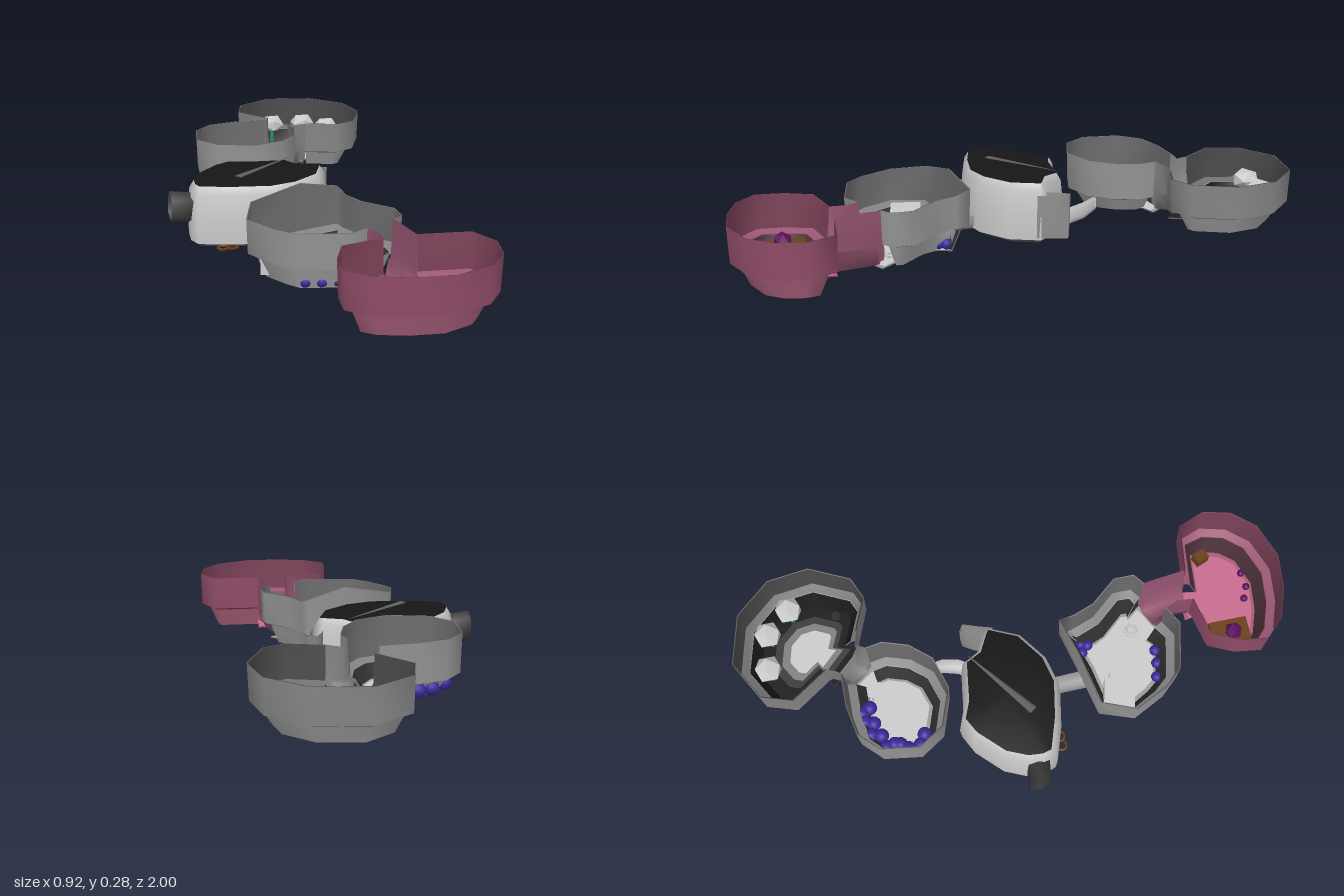
import * as THREE from 'three';

const paint = (color) => new THREE.MeshStandardMaterial({ color, side: THREE.DoubleSide });
const GREY = paint(0xcccccc), BLUE = paint(0x3a2a9a), PURPLE = paint(0x5a1060), BROWN = paint(0x6a4018), TEAL = paint(0x2f8a70);

// Colours of a room: [outside, inside] of each band, and [size, colour] of the floor rings
const STONE = { rim: [0x949494, 0x6c6c6c], ledge: [0x8a8a8a, 0x828282], lower: [0xaaaaaa, 0x303030], under: 0x606060,
  floor: [[1, 0x9c9c9c], [0.9, 0xbcbcbc], [0.76, 0xcccccc]] };
const GLOOM = { ...STONE, rim: [0x868686, 0x4c4c4c], ledge: [0x7c7c7c, 0x707070], lower: [0xaaaaaa, 0x181818],
  floor: [[1, 0x1c1c1c], [0.75, 0x3c3c3c], [0.6, 0x808080], [0.45, 0xc0c0c0]] };
const ROSE = { rim: [0x904c68, 0x7c4258], ledge: [0x864760, 0x9a5672], lower: [0xb06480, 0x4a3038], under: 0x6a3c4c,
  floor: [[1, 0xa85a78], [0.9, 0xc86c90]] };

function add(parent, name, geometry, material, x = 0, y = 0, z = 0) {
  const mesh = new THREE.Mesh(geometry, material);
  mesh.name = name;
  mesh.position.set(x, y, z);
  parent.add(mesh);
  return mesh;
}

// Skin a list of equally long rows of [x, y, z] points
function skin(rows, closed) {
  const n = rows[0].length, index = [];
  for (let r = 0; r < rows.length - 1; r++) {
    for (let i = 0; i < (closed ? n : n - 1); i++) {
      const a = r * n + i, b = r * n + (i + 1) % n;
      index.push(a, b, a + n, b, b + n, a + n);
    }
  }
  const g = new THREE.BufferGeometry();
  g.setAttribute('position', new THREE.Float32BufferAttribute(rows.flat(2), 3));
  g.setIndex(index);
  g.computeVertexNormals();
  return g;
}

// Outer skin with a lining just inside it
function lined(parent, name, rows, closed, [outside, inside]) {
  const outer = skin(rows, closed), lining = outer.clone();
  const p = lining.attributes.position, n = lining.attributes.normal;
  for (let i = 0; i < p.count; i++) {
    p.setXYZ(i, p.getX(i) - 0.004 * n.getX(i), p.getY(i) - 0.004 * n.getY(i), p.getZ(i) - 0.004 * n.getZ(i));
  }
  add(parent, name, outer, paint(outside));
  add(parent, name + 'Lining', lining, paint(inside));
}

// Twice the signed area of an outline of [x, z] points
const turn = (outline) => outline.reduce((t, [x, z], i) => {
  const q = outline[(i + 1) % outline.length];
  return t + x * q[1] - q[0] * z;
}, 0);

// Move an outline inward by d
function inset(outline, d, closed) {
  const n = outline.length, s = Math.sign(turn(outline));
  return outline.map(([x, z], i) => {
    const p = closed ? outline[(i + n - 1) % n] : outline[Math.max(i - 1, 0)];
    const q = closed ? outline[(i + 1) % n] : outline[Math.min(i + 1, n - 1)];
    const dx = q[0] - p[0], dz = q[1] - p[1], l = Math.hypot(dx, dz);
    return [x - s * dz / l * d, z + s * dx / l * d];
  });
}

// Shrink an outline toward its middle
function shrink(outline, k) {
  const c = [0, 1].map((a) => outline.reduce((t, p) => t + p[a], 0) / outline.length);
  return outline.map((p) => [c[0] + (p[0] - c[0]) * k, c[1] + (p[1] - c[1]) * k]);
}
const level = (outline, y) => outline.map(([x, z, top]) => [x, top ?? y, z]);

// Open-topped room: upright wall, ledge, tapering lower wall and floor; the first and last points flank the door
function room(parent, name, points, rim, ledge, floor, tones) {
  const outline = turn(points) > 0 ? points : [...points].reverse();
  const base = inset(outline, 0.066, false);
  const foot = level(inset(outline, 0.004, false), ledge), lip = level(inset(outline, 0.035, false), ledge - 0.012);
  const group = new THREE.Group();
  group.name = name;
  parent.add(group);
  lined(group, 'upperWall', [level(outline, rim), foot], false, tones.rim);
  lined(group, 'ledge', [foot, lip], false, tones.ledge);
  lined(group, 'lowerWall', [lip, level(base, floor)], false, tones.lower);
  const ground = [...base, outline[outline.length - 1], outline[0]];
  tones.floor.forEach(([size, color], i) => {
    const next = tones.floor[i + 1]?.[0] ?? 0;
    lined(group, 'floor', [level(shrink(ground, size), floor), level(shrink(ground, next), floor)], true, [tones.under, color]);
  });
  return group;
}

// Open passage: each row is [leftX, leftZ, rightX, rightZ, floorY, rimY]
function passage(parent, name, rows, color) {
  add(parent, name, skin(rows.map(([ax, az, bx, bz, floor, rim]) => {
    const at = (t, y) => [ax + (bx - ax) * t, y, az + (bz - az) * t];
    const mid = floor + (rim - floor) * 0.38;
    return [at(0, rim), at(0.03, mid), at(0.18, mid - 0.01), at(0.25, floor),
      at(0.75, floor), at(0.82, mid - 0.01), at(0.97, mid), at(1, rim)];
  }), false), paint(color));
}

export function createModel() {
  const model = new THREE.Group();
  model.name = 'caveRooms';

  // Back pair of rooms
  const back = room(model, 'backRoom', [[0.19, -0.555], [0.31, -0.51], [0.39, -0.545], [0.46, -0.69], [0.44, -0.84],
    [0.33, -0.96], [0.15, -1], [0.01, -0.92], [-0.025, -0.81], [0.065, -0.68]], 0.272, 0.155, 0.085, GLOOM);
  const berry = room(model, 'berryRoom', [[0.04, -0.635], [-0.085, -0.635], [-0.19, -0.615], [-0.26, -0.545], [-0.28, -0.41],
    [-0.22, -0.32], [-0.085, -0.275], [0.03, -0.31], [0.095, -0.385], [0.125, -0.475], [0.115, -0.535]], 0.28, 0.145, 0.085, STONE);
  passage(model, 'backPassage', [[0.034, -0.628, 0.108, -0.528, 0.092, 0.16], [0.04, -0.635, 0.115, -0.535, 0.092, 0.28],
    [0.055, -0.65, 0.14, -0.57, 0.092, 0.265], [0.065, -0.68, 0.19, -0.555, 0.092, 0.272],
    [0.075, -0.69, 0.195, -0.565, 0.092, 0.16]], 0x808080);

  // Front pair of rooms
  const store = room(model, 'storeRoom', [[0.07, 0.545], [0.005, 0.58], [-0.16, 0.54], [-0.22, 0.475], [-0.28, 0.355],
    [-0.235, 0.23, 0.235], [-0.05, 0.19, 0.273], [0.095, 0.155, 0.24], [0.11, 0.21], [0.14, 0.29], [0.22, 0.385],
    [0.22, 0.46], [0.18, 0.49]], 0.222, 0.1, 0.012, STONE);
  const pink = room(model, 'pinkRoom', [[0.085, 0.645], [-0.06, 0.675], [-0.105, 0.77], [-0.118, 0.87], [-0.05, 0.94],
    [0.06, 0.98], [0.19, 0.995], [0.32, 0.95], [0.39, 0.87], [0.415, 0.77], [0.375, 0.67], [0.2, 0.645]],
  0.223, 0.097, 0.012, ROSE);
  passage(model, 'frontPassage', [[0.064, 0.533, 0.175, 0.48, 0.019, 0.08], [0.07, 0.545, 0.18, 0.49, 0.019, 0.222],
    [0.09, 0.59, 0.19, 0.56, 0.019, 0.222], [0.085, 0.645, 0.2, 0.645, 0.019, 0.222],
    [0.086, 0.66, 0.2, 0.66, 0.019, 0.08]], 0x945470);

  // Roofed middle room
  const middle = new THREE.Group();
  middle.name = 'middleRoom';
  model.add(middle);
  const hall = [[-0.2, -0.265], [-0.13, -0.24], [0.015, -0.22], [0.05, -0.16], [0.11, -0.13], [0.135, -0.095],
    [0.085, 0.015], [-0.02, 0.09], [-0.125, 0.115], [-0.26, 0.09], [-0.38, 0.05], [-0.4, 0], [-0.395, -0.06],
    [-0.36, -0.14], [-0.27, -0.23]].reverse();
  const ring = (d, y) => level(inset(hall, d, true), y);
  const point = (y) => level(shrink(hall, 0), y);
  add(middle, 'hallFloor', skin([ring(0.005, 0.032), ring(0.045, 0.01), point(0.01)], true), paint(0x606060));
  add(middle, 'hallWall', skin([ring(0.026, 0.238), ring(0.01, 0.212), ring(0, 0.12), ring(0.005, 0.032)], true), GREY);
  add(middle, 'hallRoof', skin([point(0.252), level(shrink(hall, 0.5), 0.25), ring(0.026, 0.238)], true), paint(0x161616));
  // pale ridge across the roof
  const ridge = new THREE.CylinderGeometry(0.016, 0.002, 0.3, 6);
  ridge.rotateZ(Math.PI / 2).scale(1, 0.2, 1);
  add(middle, 'roofRidge', ridge, paint(0x606060), -0.1, 0.252, -0.095).rotation.y = 0.65;
  // tunnel mouth at the model's right
  add(middle, 'sideMouth', skin([[-0.38, 0.01], [-0.425, 0.004], [-0.462, 0]].map(([x, grow]) =>
    [[0.12, -0.07], [0.1, -0.03], [0.12, 0.005], [0.19, 0.01], [0.212, -0.03], [0.19, -0.065]]
      .map(([y, z]) => [x, y - grow, z + grow])), true), paint(0x383838));
  // bent flap by the back door
  const flap = [[0.1, -0.12], [0.115, -0.16], [0.14, -0.2], [0.165, -0.185], [0.145, -0.13], [0.13, -0.08]];
  add(middle, 'doorFlap', skin([level(flap, 0.2), level(flap, 0.12), level(inset(flap, 0.005, false), 0.04)], false), paint(0x909090));

  // Low passages to the middle room
  passage(model, 'rearLink', [[0.015, -0.35, 0.06, -0.33, 0.1, 0.14], [0.035, -0.29, 0.075, -0.28, 0.075, 0.125],
    [0.025, -0.23, 0.07, -0.22, 0.055, 0.105], [-0.01, -0.18, 0.03, -0.15, 0.045, 0.09]], 0xcccccc);
  passage(model, 'frontLink', [[-0.12, 0.06, -0.06, 0.06, 0.03, 0.085], [-0.115, 0.13, -0.06, 0.13, 0.03, 0.085],
    [-0.11, 0.25, -0.05, 0.24, 0.02, 0.07]], 0xa0a0a0);

  // Mushrooms
  const cap = new THREE.IcosahedronGeometry(0.052, 0).scale(1, 0.75, 1);
  const white = new THREE.MeshStandardMaterial({ color: 0xcccccc, flatShading: true });
  for (const [x, z] of [[0.14, -0.89], [0.27, -0.875], [0.35, -0.79]]) {
    add(back, 'mushroomCap', cap, white, x, 0.19, z);
    add(back, 'mushroomStem', new THREE.CylinderGeometry(0.008, 0.01, 0.08, 6), TEAL, x, 0.13, z);
  }
  add(back, 'pebble', new THREE.IcosahedronGeometry(0.02, 0), paint(0x303030), 0.33, 0.107, -0.63);

  // Piles of blue balls
  const largeBall = new THREE.SphereGeometry(0.026, 12, 8), ball = new THREE.SphereGeometry(0.02, 12, 8);
  for (const [x, z] of [[-0.05, -0.565], [-0.065, -0.595], [-0.11, -0.56], [-0.1, -0.59], [-0.16, -0.54], [-0.15, -0.575],
    [-0.205, -0.53], [-0.2, -0.5], [-0.225, -0.455], [-0.205, -0.48], [-0.22, -0.41], [-0.185, -0.39]]) {
    add(berry, 'blueBall', largeBall, BLUE, x, 0.112, z);
  }
  for (const [x, z] of [[0.03, 0.235], [0.065, 0.235], [0.055, 0.26], [-0.117, 0.482], [-0.065, 0.495], [-0.015, 0.5]]) {
    add(store, 'blueBall', ball, BLUE, x, 0.034, z);
  }

  // Crates and cog
  add(store, 'largeCrate', new THREE.BoxGeometry(0.11, 0.08, 0.11), GREY, -0.17, 0.065, 0.325).rotation.y = -0.25;
  add(store, 'smallCrate', new THREE.BoxGeometry(0.05, 0.05, 0.05), GREY, -0.105, 0.045, 0.33).rotation.y = -0.25;
  add(store, 'cog', new THREE.TorusGeometry(0.018, 0.005, 5, 12), GREY, 0.085, 0.025, 0.435).rotation.x = Math.PI / 2;
  for (let i = 0; i < 8; i++) {
    const a = i * Math.PI / 4;
    add(store, 'cogTooth', new THREE.BoxGeometry(0.008, 0.008, 0.008), GREY,
      0.085 + 0.025 * Math.cos(a), 0.025, 0.435 + 0.025 * Math.sin(a)).rotation.y = -a;
  }

  // Chest with gem, stool and sprouts in the pink room
  add(pink, 'chest', new THREE.BoxGeometry(0.085, 0.04, 0.14), BROWN, -0.008, 0.055, 0.785);
  add(pink, 'gem', new THREE.IcosahedronGeometry(0.034, 0), PURPLE, -0.015, 0.08, 0.795);
  add(pink, 'stool', new THREE.BoxGeometry(0.04, 0.04, 0.05), BROWN, 0.315, 0.036, 0.76).rotation.y = 0.4;
  for (const [x, z] of [[0.12, 0.88], [0.165, 0.9], [0.222, 0.895]]) {
    add(pink, 'sproutBerry', new THREE.SphereGeometry(0.014, 10, 8), PURPLE, x, 0.035, z);
    add(pink, 'sproutStem', new THREE.CylinderGeometry(0.003, 0.003, 0.03, 5), PURPLE, x, 0.015, z);
  }

  // Brown hoops at the foot of the middle room's wall
  for (const x of [-0.3, -0.265]) {
    add(middle, 'hoop', new THREE.TorusGeometry(0.018, 0.005, 5, 12), BROWN, x, 0.025, 0.085).rotation.x = Math.PI / 2;
  }
  return model;
}
